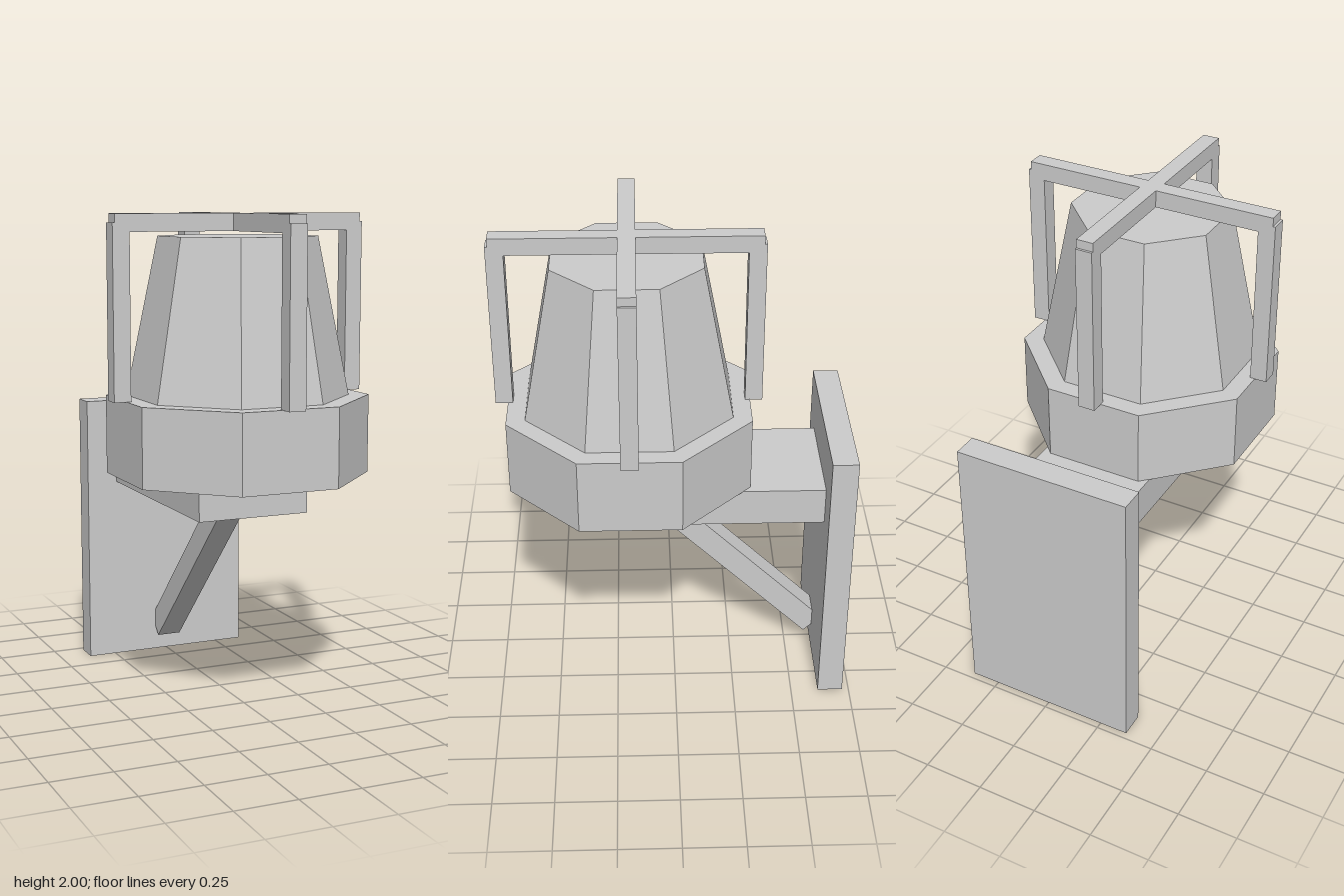
import * as THREE from 'three';

const CENTRE_Z = 0.18; // lamp axis

export function createModel() {
  const model = new THREE.Group();
  model.name = 'wallLamp';
  const material = new THREE.MeshStandardMaterial({ color: 0xcccccc, flatShading: true });

  const add = (parent, name, geometry, x, y, z) => {
    const mesh = new THREE.Mesh(geometry, material);
    mesh.name = name;
    mesh.position.set(x, y, z);
    parent.add(mesh);
    return mesh;
  };
  const box = (parent, name, w, h, d, x, y, z) =>
    add(parent, name, new THREE.BoxGeometry(w, h, d), x, y, z);

  // Octagonal prism given by its flat-to-centre distances
  const octagon = (top, bottom, height) => {
    const k = 1 / Math.cos(Math.PI / 8);
    return new THREE.CylinderGeometry(top * k, bottom * k, height, 8, 1, false, Math.PI / 8);
  };

  // Wall bracket: plate, horizontal arm and diagonal strut
  box(model, 'wallPlate', 0.74, 1.17, 0.106, 0, 0.585, -0.669);
  box(model, 'supportArm', 0.474, 0.16, 0.96, 0, 0.88, -0.14);
  const strut = box(model, 'diagonalStrut', 0.105, 0.98, 0.105, 0, 0.455, -0.272);
  strut.rotation.x = Math.PI / 4;

  // Lamp body
  add(model, 'lampBase', octagon(0.49, 0.49, 0.318), 0, 1.117, CENTRE_Z);
  add(model, 'lampShade', octagon(0.295, 0.415, 0.636), 0, 1.593, CENTRE_Z);

  // Protective cage: crossed top bars and four posts
  const cage = new THREE.Group();
  cage.name = 'cage';
  cage.position.z = CENTRE_Z;
  model.add(cage);
  box(cage, 'topBarAcross', 1.06, 0.07, 0.07, 0, 1.965, 0);
  box(cage, 'topBarAlong', 0.07, 0.07, 1.06, 0, 1.965, 0);
  for (let i = 0; i < 4; i++) {
    const a = (i * Math.PI) / 2;
    box(cage, 'cagePost', 0.07, 0.69, 0.07, 0.505 * Math.cos(a), 1.62, 0.505 * Math.sin(a));
  }
  return model;
}
